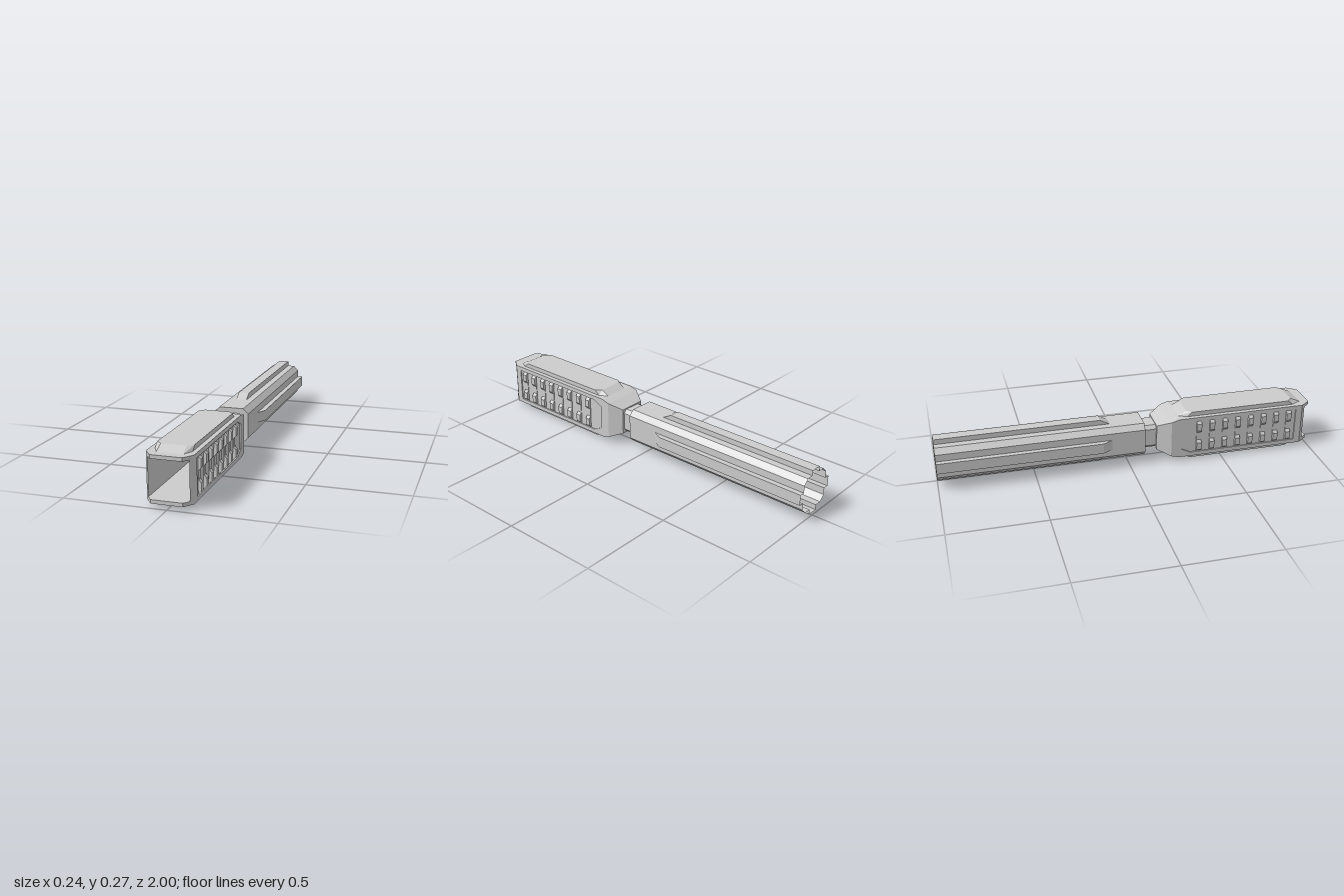
import * as THREE from 'three';

const material = new THREE.MeshStandardMaterial({ color: 0xcccccc, flatShading: true });
const shellMaterial = new THREE.MeshStandardMaterial({ color: 0xcccccc, flatShading: true, side: THREE.DoubleSide });

function addMesh(parent, name, geometry, mat = material) {
  const mesh = new THREE.Mesh(geometry, mat);
  mesh.name = name;
  parent.add(mesh);
  return mesh;
}

// Skins loops of Vector3 (counter-clockwise around the direction they advance), with optional fan caps
function loft(loops, capStart, capEnd) {
  const positions = [];
  const tri = (a, b, c) => {
    if (new THREE.Triangle(a, b, c).getArea() > 1e-9) for (const p of [a, b, c]) positions.push(p.x, p.y, p.z);
  };
  const n = loops[0].length;
  for (let s = 0; s < loops.length - 1; s++) {
    const a = loops[s], b = loops[s + 1];
    for (let i = 0; i < n; i++) {
      const j = (i + 1) % n;
      tri(a[i], a[j], b[j]);
      tri(a[i], b[j], b[i]);
    }
  }
  const first = loops[0], last = loops[loops.length - 1];
  for (let i = 1; i < n - 1; i++) {
    if (capStart) tri(first[0], first[i + 1], first[i]);
    if (capEnd) tri(last[0], last[i], last[i + 1]);
  }
  const geometry = new THREE.BufferGeometry();
  geometry.setAttribute('position', new THREE.Float32BufferAttribute(positions, 3));
  geometry.computeVertexNormals();
  return geometry;
}

const toShape = (pts) => new THREE.Shape(pts.map(([x, y]) => new THREE.Vector2(x, y)));

function extrude(shape, depth) {
  return new THREE.ExtrudeGeometry(shape, { depth, bevelEnabled: false });
}

// Plan outline in (x, z), extruded downward from the given top
const planPrism = (pts, top, depth) => extrude(toShape(pts), depth).rotateX(Math.PI / 2).translate(0, top, 0);

// Side outline in (z, y), extruded inward from the given outer x
const sidePrism = (shape, outer, depth) => extrude(shape, depth).rotateY(-Math.PI / 2).translate(outer, 0, 0);

// Octagonal section with a straight-sided rib of height h on each of its four sides
function handleLoop(z, h) {
  const pts = [];
  const side = [[0.092, -0.065], [0.092, -0.028], [0.092 + h, -0.028], [0.092 + h, 0.028], [0.092, 0.028], [0.092, 0.065]];
  for (let k = 0; k < 4; k++) {
    for (const [x, y] of side) pts.push(new THREE.Vector3(x, y, z).applyAxisAngle(new THREE.Vector3(0, 0, 1), k * Math.PI / 2));
  }
  return pts;
}

function boxLoop(z, w, h, cut = 0) {
  const pts = cut
    ? [[w, -h + cut], [w, h - cut], [w - cut, h], [cut - w, h], [-w, h - cut], [-w, cut - h], [cut - w, -h], [w - cut, -h]]
    : [[w, -h], [w, h], [-w, h], [-w, -h]];
  return pts.map(([x, y]) => new THREE.Vector3(x, y, z));
}

function panelLoop(y, endFront, cornerFront, endBack, cornerBack) {
  return [
    [endFront, -0.062], [endFront, 0.062], [cornerFront, 0.088], [cornerBack, 0.088],
    [endBack, 0.062], [endBack, -0.062], [cornerBack, -0.088], [cornerFront, -0.088],
  ].map(([z, x]) => new THREE.Vector3(x, y, z));
}

// Top or bottom of the head: wall plate with a raised, ramped panel
function createCover(name) {
  const cover = new THREE.Group();
  cover.name = name;
  const outline = [[-0.112, 0.26], [0.112, 0.26], [0.112, 0.95], [0.075, 1], [-0.075, 1], [-0.112, 0.95]];
  addMesh(cover, 'coverPlate', planPrism(outline, 0.112, 0.018));
  addMesh(cover, 'raisedPanel', loft([
    panelLoop(0.111, 0.955, 0.905, 0.26, 0.31),
    panelLoop(0.135, 0.9, 0.875, 0.31, 0.335),
  ], false, true));
  return cover;
}

// Side of the head: wall, recessed frame and row of grip bars
function createSide(name) {
  const side = new THREE.Group();
  side.name = name;
  const wall = [[0.097, 0.26], [0.106, 0.26], [0.106, 0.95], [0.112, 0.95], [0.097, 0.97]];
  addMesh(side, 'sideWall', planPrism(wall, 0.094, 0.188));

  const frame = toShape([[0.26, -0.094], [0.95, -0.094], [0.95, 0.094], [0.26, 0.094]]);
  frame.holes.push(new THREE.Path([
    [0.275, -0.065], [0.275, 0.065], [0.325, 0.09], [0.915, 0.09], [0.915, -0.09], [0.325, -0.09],
  ].map(([z, y]) => new THREE.Vector2(z, y))));
  addMesh(side, 'sideFrame', sidePrism(frame, 0.112, 0.006));

  // Each bar has a bump at either end and a lower middle
  const bar = toShape([
    [0.1, -0.088], [0.106, -0.088], [0.121, -0.075], [0.121, -0.036], [0.109, -0.022],
    [0.109, 0.022], [0.121, 0.036], [0.121, 0.075], [0.106, 0.088], [0.1, 0.088],
  ]);
  const barGeometry = extrude(bar, 0.026).translate(0, 0, -0.013);
  for (let i = 0; i < 8; i++) addMesh(side, 'gripBar', barGeometry).position.z = 0.371 + i * 0.072;
  return side;
}

export function createModel() {
  const model = new THREE.Group();
  model.name = 'handleWithHead';
  const body = new THREE.Group();
  body.name = 'body';
  body.position.y = 0.135;
  model.add(body);

  // Hollow handle, open at the back, with four ribs ramping up
  addMesh(body, 'handle', loft([
    handleLoop(-1, 0.027), handleLoop(-0.145, 0.027), handleLoop(-0.095, 0), handleLoop(0.083, 0),
  ], false, true), shellMaterial);

  // Neck between handle and head
  addMesh(body, 'neck', loft([boxLoop(0.08, 0.062, 0.065, 0.018), boxLoop(0.155, 0.062, 0.065, 0.018)], false, false));

  // Tapered rear of the head, which also closes the opening
  addMesh(body, 'headTaper', loft([
    boxLoop(0.15, 0.072, 0.07), boxLoop(0.22, 0.112, 0.1), boxLoop(0.26, 0.112, 0.112),
  ], true, true));

  // Mirrored covers and sides around the open front
  body.add(createCover('topCover'), createSide('leftSide'));
  const bottom = createCover('bottomCover');
  const right = createSide('rightSide');
  bottom.rotation.z = right.rotation.z = Math.PI;
  body.add(bottom, right);

  return model;
}
